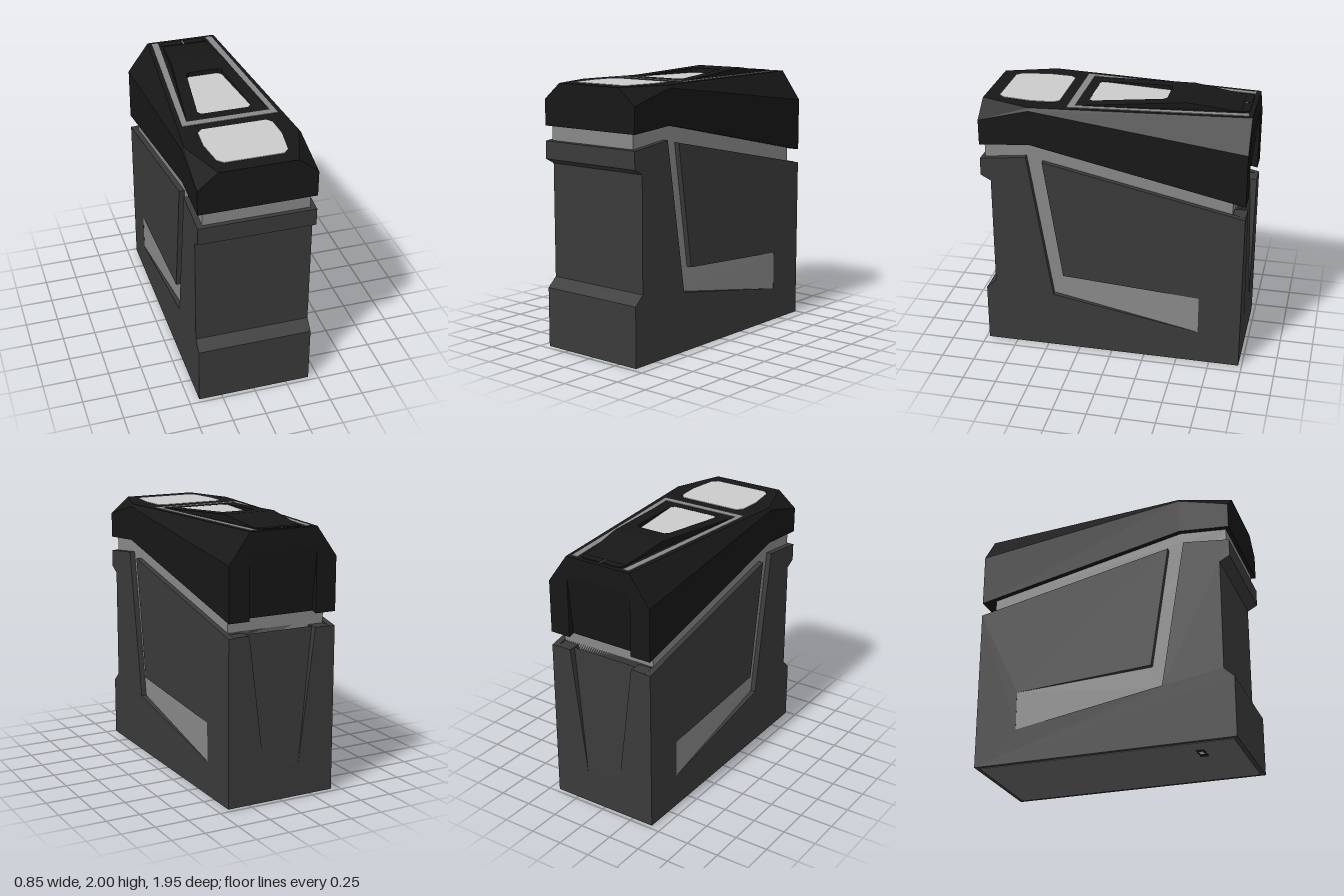
import * as THREE from 'three';
import { ConvexGeometry } from 'three/addons/geometries/ConvexGeometry.js';

const mat = (color) => new THREE.MeshStandardMaterial({ color, flatShading: true, side: THREE.DoubleSide });
const bodyMat = mat(0x3a3a3a), lidMat = mat(0x171717), trimMat = mat(0x888888);
const padMat = mat(0xcccccc), baseMat = mat(0x666666);

const shapeOf = (pts) => new THREE.Shape(pts.map(([a, b]) => new THREE.Vector2(a, b)));
const extrude = (shape, depth) => new THREE.ExtrudeGeometry(shape, { depth, bevelEnabled: false });

// profile of [z, y] points swept across x from x0 to x1
function sideways(pts, x0, x1) {
  return extrude(shapeOf(pts), x1 - x0).rotateY(-Math.PI / 2).translate(x1, 0, 0);
}
// right half of an outline of [x, z] points, mirrored to a closed outline
const mirrored = (half) => [...half, ...half.map(([x, z]) => [-x, z]).reverse()];
const planShape = (pts) => shapeOf(pts.map(([x, z]) => [x, -z]));
// outline of [x, z] points raised from y0 to y1
function upright(shape, y0, y1) {
  return extrude(shape, y1 - y0).rotateX(-Math.PI / 2).translate(0, y0, 0);
}
function quad(a, b, c, d) {
  const g = new THREE.BufferGeometry();
  g.setAttribute('position', new THREE.Float32BufferAttribute([a, b, c, a, c, d].flat(), 3));
  g.computeVertexNormals();
  return g;
}
const hull = (pts) => new ConvexGeometry(pts.map((p) => new THREE.Vector3(...p)));

export function createModel() {
  const model = new THREE.Group();
  const add = (name, geometry, material) => {
    const m = new THREE.Mesh(geometry, material);
    m.name = name;
    model.add(m);
    return m;
  };
  const floor = 0.006;
  const front = [[0.975, floor], [0.975, 0.45], [0.9, 0.52], [0.9, 1.36], [0.975, 1.4], [0.975, 1.53], [0.63, 1.57]];

  // body between the side panels
  add('bodyCore', sideways([...front, [0.51, 1.54], [-0.88, 1.25], [-0.88, floor]], -0.38, 0.38), bodyMat);

  // back wall with a tapering recess that opens at the top
  const wall = shapeOf([[-0.38, floor], [0.38, floor], [0.38, 1.235], [0.265, 1.235], [0.14, 0.25],
    [-0.14, 0.25], [-0.265, 1.235], [-0.38, 1.235]]);
  add('backWall', extrude(wall, 0.095).translate(0, 0, -0.975), bodyMat);
  add('backRecess', quad([-0.14, 0.25, -0.975], [-0.265, 1.235, -0.925],
    [0.265, 1.235, -0.925], [0.14, 0.25, -0.975]), bodyMat);

  // light band below the lid, also the floor of the side grooves
  add('band', sideways([[0.85, 1.5], [0.945, 1.51], [0.945, 1.645], [0.63, 1.68], [-0.88, 1.365],
    [-0.88, 1.2], [-0.7, 0.2], [0.5, 0.4]], -0.385, 0.385), trimMat);

  // side panels with the angled groove, and the ramp where the groove runs out
  const panel = [...front, [0.45, 0.45], [-0.66, 0.26], [-0.66, 0.55], [0.37, 0.62], [0.51, 1.54],
    [-0.975, 1.23], [-0.975, floor]];
  for (const [side, s] of [['left', 1], ['right', -1]]) {
    add(side + 'Panel', s > 0 ? sideways(panel, 0.38, 0.425) : sideways(panel, -0.425, -0.38), bodyMat);
    add(side + 'GrooveRamp', quad([s * 0.386, 0.45, 0.45], [s * 0.424, 0.26, -0.66],
      [s * 0.424, 0.55, -0.66], [s * 0.386, 0.62, 0.37]), trimMat);
  }

  // lid: front block, rear centre and two rear flanks with cut corners
  const both = (pts) => [...pts, ...pts.map(([x, y, z]) => [-x, y, z])];
  const lid = new THREE.Group();
  lid.name = 'lid';
  model.add(lid);
  const lidPart = (name, pts) => {
    const m = new THREE.Mesh(hull(pts), lidMat);
    m.name = name;
    lid.add(m);
  };
  lidPart('lidFront', both([[0.28, 1.95, 0.975], [0.41, 1.95, 0.6], [0.425, 1.93, 0.6],
    [0.425, 1.83, 0.975], [0.425, 1.64, 0.975], [0.425, 1.67, 0.6]]));
  lidPart('lidCentre', both([[0.265, 1.95, 0.6], [0.265, 1.67, 0.6], [0.265, 1.95, -0.975],
    [0.265, 1.8, -0.975], [0.265, 1.345, -0.925]]));
  for (const s of [1, -1]) {
    lidPart(s > 0 ? 'lidLeftFlank' : 'lidRightFlank', [[0.265, 1.95, 0.6], [0.41, 1.95, 0.6],
      [0.425, 1.93, 0.6], [0.425, 1.67, 0.6], [0.265, 1.67, 0.6], [0.265, 1.95, -0.975],
      [0.425, 1.73, -0.975], [0.425, 1.335, -0.975], [0.265, 1.335, -0.975]].map(([x, y, z]) => [s * x, y, z]));
  }

  // trim frame on the lid, open at the back
  add('trimFrame', upright(planShape([[0.35, 0.34], [0.24, -0.945], [0.19, -0.945], [0.305, 0.285],
    [-0.305, 0.285], [-0.19, -0.945], [-0.24, -0.945], [-0.35, 0.34]]), 1.94, 1.954), trimMat);

  // low hump inside the frame, its top rising to a ridge
  const padHalf = [[0.11, -0.345], [0.135, -0.32], [0.195, 0.18], [0.175, 0.21]];
  const humpFront = planShape(mirrored([[0.3, 0.285], [0.2, -0.5]]));
  humpFront.holes.push(planShape(mirrored(padHalf)));
  const humpBack = planShape(mirrored([[0.2, -0.5], [0.17, -0.88]]));
  for (const [name, shape] of [['humpFront', humpFront], ['humpBack', humpBack]]) {
    const g = upright(shape, 1.94, 1.96);
    const p = g.attributes.position;
    for (let i = 0; i < p.count; i++) {
      if (p.getY(i) < 1.95) continue;
      const z = p.getZ(i);
      p.setY(i, 1.951 + 0.049 * Math.min((0.285 - z) / 0.785, (z + 0.88) / 0.38));
    }
    g.computeVertexNormals();
    add(name, g, lidMat);
  }

  // light pads on the lid
  add('rearPad', upright(planShape(mirrored(padHalf)), 1.94, 1.955), padMat);
  add('frontPad', upright(planShape(mirrored([[0.235, 0.415], [0.27, 0.455], [0.28, 0.62],
    [0.25, 0.83], [0.21, 0.87]])), 1.94, 1.954), padMat);

  // split catch at the back of the frame
  for (const s of [1, -1]) {
    add(s > 0 ? 'leftCatch' : 'rightCatch', upright(planShape([[s * 0.005, -0.94], [s * 0.155, -0.94],
      [s * 0.18, -0.88], [s * 0.005, -0.88]]), 1.94, 1.956), lidMat);
  }
  add('catchSeam', new THREE.BoxGeometry(0.01, 0.012, 0.06).translate(0, 1.948, -0.91), trimMat);

  // base plate and small socket underneath
  add('basePlate', new THREE.BoxGeometry(0.79, 0.01, 1.89).translate(0, 0.007, 0), baseMat);
  add('socket', new THREE.BoxGeometry(0.14, 0.01, 0.06).translate(-0.19, 0.005, 0.665), lidMat);
  add('socketPin', new THREE.BoxGeometry(0.05, 0.01, 0.03).translate(-0.2, 0.0045, 0.665), padMat);
  return model;
}
